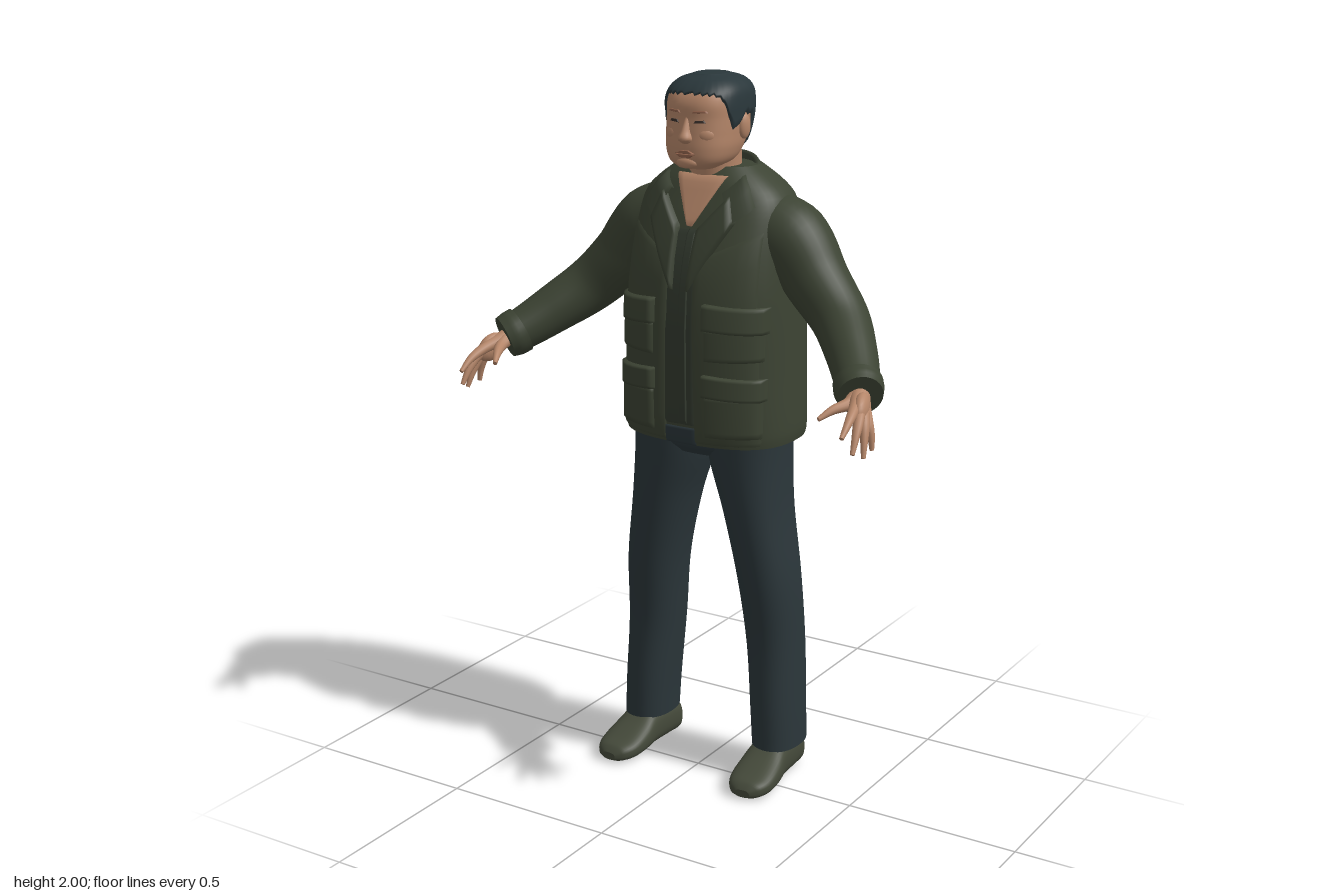
import * as THREE from 'three';

const mat = (name, color, side = THREE.FrontSide) => {
  const m = new THREE.MeshStandardMaterial({ color, side });
  m.name = name;
  return m;
};

// Grid surface from fn(i, j) -> [x, y, z]; closed in i when wrap is set
function grid(nu, nv, wrap, fn) {
  const pos = [], idx = [], cols = wrap ? nu : nu + 1;
  for (let j = 0; j <= nv; j++) for (let i = 0; i < cols; i++) pos.push(...fn(i, j));
  for (let j = 0; j < nv; j++) for (let i = 0; i < nu; i++) {
    const a = j * cols + i, b = j * cols + (i + 1) % cols;
    idx.push(a, b, b + cols, a, b + cols, a + cols);
  }
  const g = new THREE.BufferGeometry();
  g.setAttribute('position', new THREE.Float32BufferAttribute(pos, 3));
  g.setIndex(idx);
  g.computeVertexNormals();
  return g;
}

// Smooth lookup in a table of sections [y, halfWidth, front, back, centreX]
function section(t, y) {
  let i = 0;
  while (i < t.length - 2 && y > t[i + 1][0]) i++;
  const h = t[i + 1][0] - t[i][0], s = THREE.MathUtils.clamp((y - t[i][0]) / h, 0, 1);
  const slope = (k, c) => {
    const a = t[Math.max(k - 1, 0)], b = t[Math.min(k + 1, t.length - 1)];
    return ((b[c] || 0) - (a[c] || 0)) / (b[0] - a[0]);
  };
  return [1, 2, 3, 4].map(c => {
    const p = t[i][c] || 0, q = t[i + 1][c] || 0, s2 = s * s, s3 = s2 * s;
    return p * (2 * s3 - 3 * s2 + 1) + q * (3 * s2 - 2 * s3)
      + h * (slope(i, c) * (s3 - 2 * s2 + s) + slope(i + 1, c) * (s3 - s2));
  });
}
const bend = (v, n) => Math.sign(v) * Math.abs(v) ** (2 / n);
function around(t, n, a, y, grow = 1) {
  const [w, f, b, cx] = section(t, y);
  return [cx + grow * w * bend(Math.sin(a), n), y, (f + b) / 2 + grow * (f - b) / 2 * bend(Math.cos(a), n)];
}
function frontZ(t, n, x, y) {
  const [w, f, b] = section(t, y);
  return (f + b) / 2 + (f - b) / 2 * Math.max(0, 1 - Math.abs(x / w) ** n) ** (1 / n);
}

// Closed body through a section table, with separate end caps
function loft(t, n = 2.3, nu = 36, nv = 32) {
  const y0 = t[0][0], y1 = t[t.length - 1][0];
  return grid(nu, nv + 4, true, (i, j) => {
    const k = THREE.MathUtils.clamp((j - 2) / nv, 0, 1);
    return around(t, n, i / nu * Math.PI * 2, y0 + (y1 - y0) * k, j === 0 || j === nv + 4 ? 0 : 1);
  });
}

// Round limb along a path with a radius at each point
function limb(path, radii, nu = 20, nv = 24) {
  const curve = new THREE.CatmullRomCurve3(path.map(p => new THREE.Vector3(...p)));
  const fr = curve.computeFrenetFrames(nv, false);
  return grid(nu, nv + 4, true, (i, j) => {
    const k = THREE.MathUtils.clamp(j - 2, 0, nv), s = k / nv * (radii.length - 1);
    const m = Math.min(Math.floor(s), radii.length - 2), a = i / nu * Math.PI * 2;
    const r = j === 0 || j === nv + 4 ? 0 : THREE.MathUtils.lerp(radii[m], radii[m + 1], s - m);
    return curve.getPointAt(k / nv).addScaledVector(fr.normals[k], r * Math.cos(a))
      .addScaledVector(fr.binormals[k], r * Math.sin(a)).toArray();
  });
}

// Raised cloth panel lying on the front of a body; corners run anticlockwise from bottom left
function panel(t, n, [bl, br, tr, tl], off) {
  const s = [0, 0.03, 0.15, 0.3, 0.5, 0.7, 0.85, 0.97, 1], last = s.length - 1, L = THREE.MathUtils.lerp;
  return grid(last, last, false, (i, j) => {
    const x = L(L(bl[0], br[0], s[i]), L(tl[0], tr[0], s[i]), s[j]);
    const y = L(L(bl[1], br[1], s[i]), L(tl[1], tr[1], s[i]), s[j]);
    const edge = i === 0 || j === 0 || i === last || j === last;
    return [x, y, frontZ(t, n, x, y) + (edge ? -0.003 : off)];
  });
}
const rect = (x0, y0, x1, y1) => [[x0, y0], [x1, y0], [x1, y1], [x0, y1]];

function mirrored(g) {
  const m = g.clone().scale(-1, 1, 1), ix = m.index.array;
  for (let i = 0; i < ix.length; i += 3) [ix[i], ix[i + 1]] = [ix[i + 1], ix[i]];
  m.computeVertexNormals();
  return m;
}

const TORSO = [[1.005, .252, .088, -.28], [1.03, .256, .092, -.285], [1.2, .25, .097, -.295], [1.4, .243, .095, -.296],
  [1.52, .237, .072, -.285], [1.62, .228, .035, -.265], [1.68, .208, .008, -.245], [1.72, .165, -.01, -.225], [1.755, .115, -.035, -.195]];
const HEAD = [[1.757, .05, .045, -.04], [1.775, .08, .062, -.1], [1.81, .096, .067, -.135], [1.85, .101, .064, -.16],
  [1.89, .103, .06, -.176], [1.93, .102, .058, -.18], [1.96, .095, .042, -.173], [1.982, .072, .012, -.15], [1.992, .04, -.02, -.115]];
const LEG = [[.095, .068, 0, -.188, .218], [.2, .07, 0, -.19, .213], [.4, .075, -.005, -.194, .2], [.6, .082, .015, -.185, .184],
  [.8, .092, .03, -.19, .15], [.95, .113, .035, -.2, .122], [1.06, .12, .035, -.2, .115]];
const HIPS = [[.955, .12, .015, -.17], [.985, .215, .033, -.2], [1.08, .235, .035, -.21]];
const SHOE = [[-.132, .022, .03, .008], [-.12, .045, .046, .003], [-.08, .064, .06, 0], [-.02, .066, .085, 0],
  [.04, .058, .115, 0], [.12, .056, .115, 0], [.17, .05, .1, 0], [.186, .03, .08, .008]];
const NOSE = [[1.826, .016, .068, .03], [1.838, .022, .086, .03], [1.86, .014, .078, .03], [1.895, .009, .06, .03]];

export function createModel() {
  const jacket = mat('jacketGreen', 0x3c4333), lining = mat('placketGreen', 0x333a2f), cloth = mat('trouserBlue', 0x2b363a);
  const hairMat = mat('hairDark', 0x2a373b, THREE.DoubleSide), skin = mat('skin', 0xb58669), shoeMat = mat('shoeGreen', 0x44493a);
  const lip = mat('lipBrown', 0x96664f), dark = mat('eyeDark', 0x3a302b);
  const collarMat = mat('collarGreen', 0x394031, THREE.DoubleSide);
  const group = new THREE.Group();
  const add = (name, g, m) => {
    const mesh = new THREE.Mesh(g, m);
    mesh.name = name;
    group.add(mesh);
  };
  const pair = (name, g, m) => {
    add(name + 'Left', g, m);
    add(name + 'Right', mirrored(g), m);
  };
  const onTorso = (corners, off) => panel(TORSO, 2.6, corners, off);
  const onFace = (corners, off) => panel(HEAD, 2.5, corners, off);

  // Trousers and shoes
  pair('trouserLeg', loft(LEG), cloth);
  add('trouserHips', loft(HIPS, 2.4), cloth);
  pair('shoe', loft(SHOE, 2.6).rotateX(-Math.PI / 2).rotateY(0.06).translate(.219, 0, 0), shoeMat);

  // Jacket body, front panels, lapels and pockets
  add('jacketBody', loft(TORSO, 2.6, 48, 48), jacket);
  add('placket', onTorso(rect(-.05, 1.055, .05, 1.6), .004), lining);
  add('placketFold', onTorso(rect(0, 1.06, .024, 1.6), .009), lining);
  add('trouserFront', onTorso(rect(-.05, 1.004, .05, 1.055), .003), cloth);
  pair('frontPanel', onTorso([[.045, 1.008], [.22, 1.008], [.2, 1.6], [.035, 1.52]], .008), jacket);
  pair('lapel', onTorso([[.022, 1.43], [.13, 1.62], [.105, 1.69], [.03, 1.6]], .02), collarMat);
  for (const [name, top, mid, low] of [['chestPocket', 1.41, 1.325, 1.25], ['hipPocket', 1.215, 1.14, 1.035]]) {
    pair(name, onTorso(rect(.08, low, .222, mid + .02), .016), jacket);
    pair(name + 'Flap', onTorso([[.075, mid + .012], [.228, mid], [.228, top - .012], [.075, top]], .024), jacket);
  }

  // Folded collar, standing at the nape and falling to the lapels
  add('collar', grid(40, 4, false, (i, j) => {
    const u = i / 20 - 1, a = u * 2.4, drop = .085 * u * u;
    const [rx, rz, y] = [[.095, .085, 1.72], [.105, .093, 1.772], [.118, .102, 1.778], [.145, .118, 1.745], [.17, .135, 1.7]][j];
    const x = rx * Math.sin(a), yy = y - drop;
    let z = -.095 - rz * Math.cos(a);
    if (Math.abs(a) > 1.57 && j > 1) z = Math.max(z, frontZ(TORSO, 2.6, x, yy) + .012);
    return [x, yy, z];
  }), collarMat);

  // Sleeves and cuffs
  pair('sleeve', limb([[.12, 1.6, -.12], [.225, 1.56, -.118], [.315, 1.458, -.1], [.4, 1.375, -.07], [.475, 1.31, .005], [.53, 1.262, .075], [.562, 1.238, .12]],
    [.1, .106, .092, .082, .074, .065, .056], 28, 40), jacket);
  pair('cuff', limb([[.54, 1.255, .088], [.55, 1.247, .103], [.567, 1.236, .126]], [.066, .066, .06], 28, 6), jacket);

  // Hands: palm bones run together, then spread into fingers
  const wrist = [.558, 1.242, .11];
  const fingers = {
    indexFinger: [[.588, 1.215, .205], [.597, 1.195, .25], [.6, 1.168, .288]],
    middleFinger: [[.602, 1.2, .198], [.613, 1.163, .235], [.618, 1.122, .262]],
    ringFinger: [[.61, 1.188, .184], [.623, 1.146, .208], [.63, 1.104, .224]],
    littleFinger: [[.612, 1.18, .166], [.623, 1.146, .17], [.627, 1.112, .172]],
    thumb: [[.553, 1.222, .165], [.532, 1.213, .21], [.512, 1.195, .248]],
  };
  for (const [name, p] of Object.entries(fingers)) {
    pair(name, limb([wrist, ...p], [.026, .017, .0125, .006], 12, 16), skin);
  }
  const palm = new THREE.SphereGeometry(1, 20, 14).scale(.022, .036, .05);
  pair('palm', palm.rotateX(.5).rotateY(.3).translate(.588, 1.213, .162), skin);

  // Neck, open shirt front and head
  add('neck', loft([[1.66, .085, -.02, -.17], [1.72, .075, -.015, -.16], [1.82, .075, .0, -.155]], 2), skin);
  add('chest', onTorso([[-.006, 1.6], [.006, 1.6], [.08, 1.735], [-.08, 1.735]], .006), skin);
  add('head', loft(HEAD, 2.5, 40, 40), skin);
  add('nose', loft(NOSE, 2, 16, 14), skin);
  pair('ear', new THREE.SphereGeometry(1, 16, 12).scale(.012, .034, .02).rotateY(-.25).translate(.106, 1.865, -.062), skin);
  pair('eye', onFace([[.022, 1.88], [.056, 1.882], [.05, 1.889], [.028, 1.888]], .002), dark);
  pair('eyebrow', onFace([[.018, 1.906], [.062, 1.908], [.056, 1.914], [.022, 1.913]], .003), lip);
  pair('cheek', new THREE.SphereGeometry(1, 16, 12).scale(.026, .022, .014).rotateY(.5).translate(.052, 1.848, .042), skin);
  add('upperLip', onFace([[-.032, 1.8], [.032, 1.8], [.012, 1.809], [-.012, 1.809]], .005), lip);
  add('lowerLip', onFace([[-.016, 1.79], [.016, 1.79], [.03, 1.799], [-.03, 1.799]], .005), lip);
  add('chin', new THREE.SphereGeometry(1, 16, 12).scale(.032, .016, .014).translate(0, 1.775, .056), skin);

  // Hair cap with a hairline that drops at the sideburns and nape
  const line = [[0, 1.955], [.7, 1.952], [.95, 1.94], [1.12, 1.9], [1.25, 1.865], [1.45, 1.865], [1.6, 1.9], [1.9, 1.89], [2.1, 1.83], [2.4, 1.795], [3.15, 1.785]];
  const hairline = a => {
    const k = Math.max(0, line.findIndex(p => p[0] > a) - 1), [p, q] = [line[k], line[k + 1]];
    return THREE.MathUtils.lerp(p[1], q[1], (a - p[0]) / (q[0] - p[0]));
  };
  add('hair', grid(96, 20, true, (i, j) => {
    const a = i / 96 * Math.PI * 2, low = hairline(Math.min(a, Math.PI * 2 - a)) + .004 * Math.sin(i * 2.1);
    const k = Math.min(j / 19, 1), y = low + (1.992 - low) * Math.sin(k * Math.PI / 2);
    const p = around(HEAD, 2.5, a, y, j === 20 ? 0 : j === 0 ? 1.01 : 1.07);
    p[1] += j === 0 ? 0 : .008 * k;
    return p;
  }), hairMat);

  return group;
}
